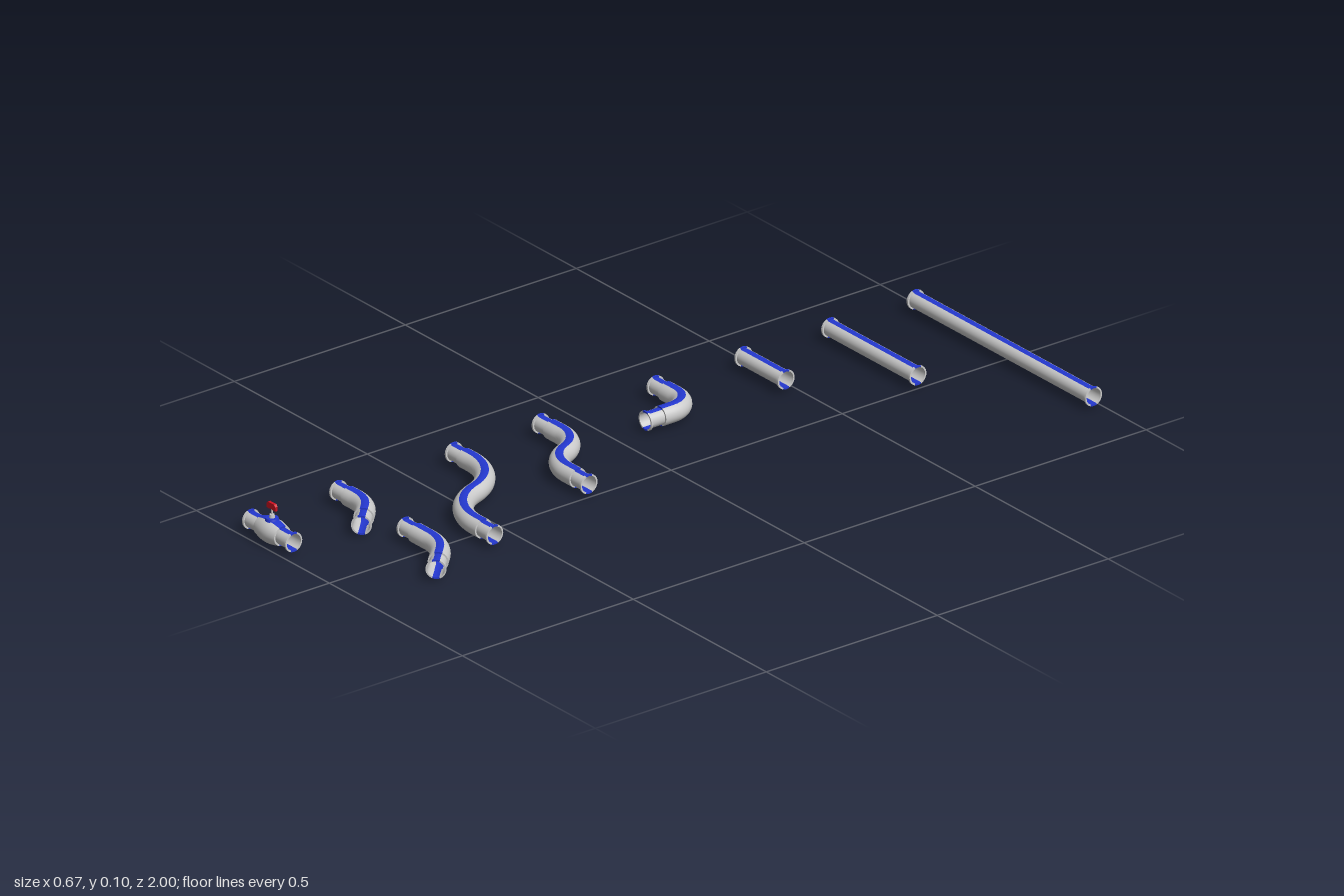
import * as THREE from 'three';

const AXIS_Y = 0.0335;            // height of every pipe axis
const R_PIPE = 0.0205, R_WIDE = 0.0245;
const FLANGE = 0.005, STUB = 0.043;
const DEG = Math.PI / 180;

const mat = (color, extra = {}) => new THREE.MeshStandardMaterial({ color, ...extra });
const grey = mat(0xcccccc, { side: THREE.DoubleSide });
const blue = mat(0x2438d0, { side: THREE.DoubleSide });
const red = mat(0xd01020);

// Horizontal route of [length, turn in degrees] pieces, sampled by distance.
function makeRoute(x0, z0, pieces) {
  const total = pieces.reduce((sum, p) => sum + p[0], 0);
  const at = (s) => {
    let x = x0, z = z0, h = 0;
    for (const [len, deg] of pieces) {
      const l = Math.min(s, len), turn = deg * DEG * l / len;
      const chord = turn ? l * Math.sin(turn / 2) / (turn / 2) : l;
      x += chord * Math.cos(h + turn / 2);
      z += chord * Math.sin(h + turn / 2);
      h += turn;
      s -= l;
      if (s <= 1e-9) break;
    }
    return { x, z, h };
  };
  return { total, at };
}

// Surface swept along a route over one angular sector; each profile step has its own normals.
function sweepSector(route, profile, a0, a1, sides) {
  const pos = [], idx = [];
  for (let k = 0; k + 1 < profile.length; k++) {
    const [s0, r0, bulge = 0] = profile[k], [s1, r1] = profile[k + 1];
    const n = bulge ? 12 : Math.max(1, Math.ceil((s1 - s0) / 0.009));
    const base = pos.length / 3;
    for (let i = 0; i <= n; i++) {
      const t = i / n, r = r0 + (r1 - r0) * t + bulge * Math.sin(Math.PI * t);
      const { x, z, h } = route.at(s0 + (s1 - s0) * t);
      for (let j = 0; j <= sides; j++) {
        const a = a0 + (a1 - a0) * j / sides, c = r * Math.cos(a);
        pos.push(x - c * Math.sin(h), AXIS_Y + r * Math.sin(a), z + c * Math.cos(h));
      }
    }
    for (let i = 0; i < n; i++) {
      for (let j = 0; j < sides; j++) {
        const a = base + i * (sides + 1) + j, b = a + sides + 1;
        idx.push(a, b, a + 1, b, b + 1, a + 1);
      }
    }
  }
  const g = new THREE.BufferGeometry();
  g.setAttribute('position', new THREE.Float32BufferAttribute(pos, 3));
  g.setIndex(idx);
  g.computeVertexNormals();
  return g;
}

// Open pipe: end flanges, narrow stubs, optional wider middle, stripes above and below.
function makePipe(name, x, z, pieces, wide = true, bulge = 0) {
  const route = makeRoute(x, z, pieces), L = route.total;
  const start = [[0, R_PIPE], [0, R_WIDE], [FLANGE, R_WIDE], [FLANGE, R_PIPE]];
  const middle = wide
    ? [[STUB, R_PIPE], [STUB, R_WIDE, bulge], [L - STUB, R_WIDE], [L - STUB, R_PIPE]] : [];
  const end = start.map(([s, r]) => [L - s, r]).reverse();
  const profile = [...start, ...middle, ...end];
  // Inner wall runs through the ends
  profile.unshift([FLANGE, R_PIPE]);
  profile.push([L - FLANGE, R_PIPE]);

  const group = new THREE.Group();
  group.name = name;
  const sectors = [
    ['frontWall', -67.5, 67.5, 12, grey], ['topStripe', 67.5, 112.5, 4, blue],
    ['backWall', 112.5, 247.5, 12, grey], ['bottomStripe', 247.5, 292.5, 4, blue],
  ];
  for (const [part, a0, a1, sides, material] of sectors) {
    const mesh = new THREE.Mesh(sweepSector(route, profile, a0 * DEG, a1 * DEG, sides), material);
    mesh.name = part;
    group.add(mesh);
  }
  return group;
}

// Pieces of a bend with its straight run-in and run-out
const bend = (before, radius, deg, after) => [[before, 0], [radius * deg * DEG, deg], [after, 0]];

// Offset bend: two opposite arcs that move the pipe sideways by dz over a total length in x
function offsetBend(length, dz, deg) {
  const a = deg * DEG, r = dz / (2 * (1 - Math.cos(a)));
  const run = (length - 2 * r * Math.sin(a)) / 2;
  return [[run, 0], [r * a, deg], [r * a, -deg], [run, 0]];
}

// Bonnet, stem and thin red grip on top of the valve
function makeHandle(x, z) {
  const group = new THREE.Group();
  group.name = 'valveHandle';
  const add = (name, geometry, material, y) => {
    const mesh = new THREE.Mesh(geometry, material);
    mesh.name = name;
    mesh.position.set(x, y, z);
    group.add(mesh);
  };
  add('bonnet', new THREE.CylinderGeometry(0.015, 0.017, 0.007, 24), blue, 0.0635);
  add('gland', new THREE.CylinderGeometry(0.006, 0.007, 0.008, 16), grey, 0.071);
  add('stem', new THREE.CylinderGeometry(0.002, 0.002, 0.024, 12), grey, 0.08);
  const half = [[0.004, 0.0015], [0.006, 0], [0.0165, 0], [0.0165, 0.011], [0.012, 0.016]];
  const outline = [...half, ...half.map(([px, py]) => [-px, py]).reverse()];
  const shape = new THREE.Shape(outline.map(([px, py]) => new THREE.Vector2(px, py)));
  const grip = new THREE.ExtrudeGeometry(shape, { depth: 0.007, bevelEnabled: false });
  grip.translate(0, 0, -0.0035);
  add('grip', grip, red, 0.088);
  return group;
}

export function createModel() {
  const model = new THREE.Group();
  model.name = 'pipeSet';
  const X = -0.337;

  // Straight pipes
  model.add(makePipe('longPipe', X, -0.975, [[0.672, 0]], false));
  model.add(makePipe('mediumPipe', X, -0.725, [[0.333, 0]], false));
  model.add(makePipe('shortPipe', X, -0.471, [[0.164, 0]], false));

  // Bends
  model.add(makePipe('rightAngleElbow', X, -0.214, bend(0.081, 0.06, 90, 0.078)));
  model.add(makePipe('smallOffsetBend', X, 0.122, offsetBend(0.333, 0.115, 68)));
  model.add(makePipe('largeOffsetBend', X, 0.376, offsetBend(0.417, 0.202, 72)));
  model.add(makePipe('shortHalfElbow', X, 0.714, bend(0.07, 0.1, 45, 0.065)));
  model.add(makePipe('longHalfElbow', -0.084, 0.714, bend(0.092, 0.12, 45, 0.073)));

  // Valve with a swollen body
  model.add(makePipe('valveBody', X, 0.969, [[0.164, 0]], true, 0.0065));
  model.add(makeHandle(X + 0.082, 0.969));
  return model;
}
